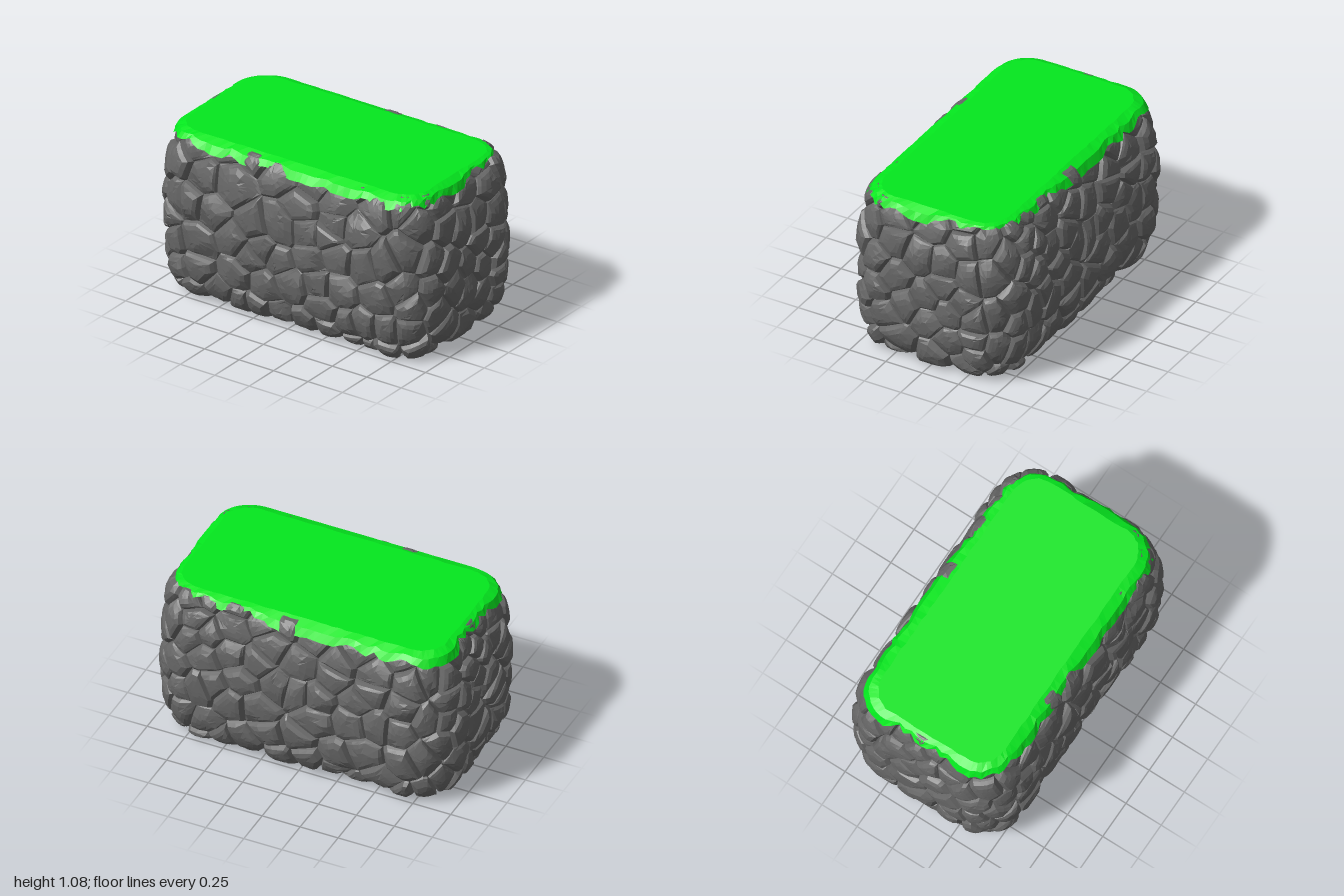
import * as THREE from 'three';

const HEIGHT = 1.08;
let seed = 7;
const rand = () => {
  seed = (seed * 16807) % 2147483647;
  return seed / 2147483647;
};

// Rounded-rectangle plan, counter-clockwise (shape y is -z)
function makePlan(hx, hy, r) {
  const s = new THREE.Shape();
  s.moveTo(-hx + r, -hy);
  s.lineTo(hx - r, -hy).absarc(hx - r, -hy + r, r, -Math.PI / 2, 0);
  s.lineTo(hx, hy - r).absarc(hx - r, hy - r, r, 0, Math.PI / 2);
  s.lineTo(-hx + r, hy).absarc(-hx + r, hy - r, r, Math.PI / 2, Math.PI);
  s.lineTo(-hx, -hy + r).absarc(-hx + r, -hy + r, r, Math.PI, Math.PI * 1.5);
  return s;
}
const plan = makePlan(0.975, 0.57, 0.29);
const PERIMETER = plan.getLength();

// Bulging side profile: x is the offset from the plan, y the height
const profile = new THREE.SplineCurve([
  [-0.14, 0], [-0.085, 0.03], [-0.052, 0.08], [-0.016, 0.2], [0, 0.4], [0, 0.66],
  [-0.014, 0.86], [-0.045, 0.99], [-0.08, 1.045], [-0.14, HEIGHT]
].map(([x, y]) => new THREE.Vector2(x, y)));
const RISE = profile.getLength();

// Point on the wall: u along the perimeter, v up the profile, d outwards.
// The long sides curve in further than the ends.
function wallPoint(u, v, d) {
  const t = (((u / PERIMETER) % 1) + 1) % 1;
  const p = plan.getPointAt(t), tan = plan.getTangentAt(t);
  const w = THREE.MathUtils.clamp(v / RISE, 0, 1);
  const q = profile.getPointAt(w), qt = profile.getTangentAt(w);
  const out = q.x * (1 + 0.25 * tan.x * tan.x) + qt.y * d;
  const y = w < 1e-6 ? 0 : THREE.MathUtils.clamp(q.y - qt.x * d, 0, HEIGHT - 0.008);
  return [p.x + tan.y * out, y, -(p.y - tan.x * out)];
}

function meshFrom(name, positions, color) {
  const g = new THREE.BufferGeometry();
  g.setAttribute('position', new THREE.Float32BufferAttribute(positions, 3));
  g.computeVertexNormals();
  const m = new THREE.Mesh(g, new THREE.MeshStandardMaterial({ color, flatShading: true }));
  m.name = name;
  return m;
}

// Keep the part of a polygon that lies on the side n.p <= c
function clip(poly, nx, ny, c) {
  const out = [];
  poly.forEach((a, i) => {
    const b = poly[(i + 1) % poly.length];
    const da = nx * a[0] + ny * a[1] - c, db = nx * b[0] + ny * b[1] - c;
    if (da <= 0) out.push(a);
    if (da * db < 0) {
      const t = da / (da - db);
      out.push([a[0] + (b[0] - a[0]) * t, a[1] + (b[1] - a[1]) * t]);
    }
  });
  return out;
}

// Scattered stone centres of mixed spacing, wrapped around the perimeter
function scatterCentres() {
  const pts = [];
  for (let i = 0; i < 1800; i++) {
    const p = [rand() * PERIMETER, rand() * RISE];
    const gap = 0.1 + 0.17 * rand();
    const free = pts.every(q => {
      const du = Math.abs(p[0] - q[0]);
      return Math.hypot(Math.min(du, PERIMETER - du), p[1] - q[1]) > gap;
    });
    if (free) pts.push(p);
  }
  return pts;
}

// Outline of the stone around one centre, with long edges divided
function stoneOutline(c, centres) {
  let poly = [[c[0] - 0.5, 0], [c[0] + 0.5, 0], [c[0] + 0.5, RISE], [c[0] - 0.5, RISE]];
  for (const q of centres) {
    for (const shift of [-PERIMETER, 0, PERIMETER]) {
      const nx = q[0] + shift - c[0], ny = q[1] - c[1];
      const len = Math.hypot(nx, ny);
      if (len < 1e-6 || len > 1.2) continue;
      poly = clip(poly, nx, ny, nx * (c[0] + nx / 2) + ny * (c[1] + ny / 2));
    }
  }
  const out = [];
  poly.forEach((a, i) => {
    const b = poly[(i + 1) % poly.length];
    const n = Math.max(1, Math.ceil(Math.hypot(b[0] - a[0], b[1] - a[1]) / 0.08 - 1e-4));
    for (let k = 0; k < n; k++) out.push([a[0] + (b[0] - a[0]) * k / n, a[1] + (b[1] - a[1]) * k / n]);
  });
  return out;
}

// Each stone rises from a groove to a face worn down by a few slanted cuts
function addStone(positions, poly) {
  const n = poly.length;
  const cu = poly.reduce((s, p) => s + p[0], 0) / n;
  const cv = poly.reduce((s, p) => s + p[1], 0) / n;
  const size = poly.reduce((s, p) => s + Math.hypot(p[0] - cu, p[1] - cv), 0) / n;
  const lift = 0.004 + rand() * 0.022;
  const turn = rand() * Math.PI * 2;
  const cuts = [0, 1, 2, 3].map(i => ({
    angle: turn + (i + rand() * 0.6) * Math.PI * 0.5,
    slope: 0.15 + rand() * 0.4,
    start: size * (0.2 + rand() * 0.4)
  }));
  const depthAt = (du, dv) => lift - Math.hypot(...cuts.map(c =>
    Math.max(0, c.slope * (du * Math.cos(c.angle) + dv * Math.sin(c.angle) - c.start))));
  const rings = [1, 0.92, 0.8, 0.55, 0.25].map((s, r) => poly.map(p => {
    const du = (p[0] - cu) * s, dv = (p[1] - cv) * s;
    const limit = [-0.034, -0.014, 0.008][r] ?? 1;
    const d = r === 0 ? limit : Math.max(Math.min(depthAt(du, dv), limit), -0.031);
    return wallPoint(cu + du, cv + dv, d);
  }));
  const mid = wallPoint(cu, cv, lift);
  for (let i = 0; i < n; i++) {
    const j = (i + 1) % n;
    for (let r = 0; r < rings.length - 1; r++) {
      const a = rings[r][i], b = rings[r][j], c = rings[r + 1][j], d = rings[r + 1][i];
      positions.push(...a, ...b, ...c, ...a, ...c, ...d);
    }
    positions.push(...rings[rings.length - 1][i], ...rings[rings.length - 1][j], ...mid);
  }
}

// Grass: a flat lawn with a short ragged fringe over the stones
function makeGrass(color) {
  const N = 130, pos = [], rows = [[], [], []];
  let drop = 0.1;
  for (let i = 0; i < N; i++) {
    const u = i / N * PERIMETER;
    drop = THREE.MathUtils.clamp(drop + (rand() - 0.5) * 0.07, 0.06, 0.125);
    const edge = wallPoint(u, RISE - 0.025, 0.004 + 0.02 * rand());
    edge[1] = HEIGHT;
    rows[0].push(edge);
    rows[1].push(wallPoint(u, RISE - 0.02 - drop * 0.45, 0.022));
    rows[2].push(wallPoint(u, RISE - drop, 0.008 + 0.012 * rand()));
  }
  for (let i = 0; i < N; i++) {
    const j = (i + 1) % N;
    pos.push(...rows[0][i], ...rows[0][j], 0, HEIGHT, 0);
    for (let r = 0; r < 2; r++) {
      const a = rows[r + 1][i], b = rows[r + 1][j], c = rows[r][j], d = rows[r][i];
      pos.push(...a, ...b, ...c, ...a, ...c, ...d);
    }
  }
  const mesh = meshFrom('grassTop', pos, color);
  mesh.material.side = THREE.DoubleSide;
  return mesh;
}

export function createModel() {
  const group = new THREE.Group();
  group.name = 'grassyStoneBlock';
  const stone = 0x666666;

  // Stone wall on all four sides
  const centres = scatterCentres(), positions = [];
  for (const c of centres) addStone(positions, stoneOutline(c, centres));
  group.add(meshFrom('stoneWall', positions, stone));

  // Flat underside
  const base = new THREE.Mesh(
    new THREE.ShapeGeometry(makePlan(0.84, 0.4, 0.16), 8),
    new THREE.MeshStandardMaterial({ color: stone })
  );
  base.name = 'underside';
  base.rotation.x = Math.PI / 2;
  group.add(base);

  group.add(makeGrass(0x04e81e));
  return group;
}
